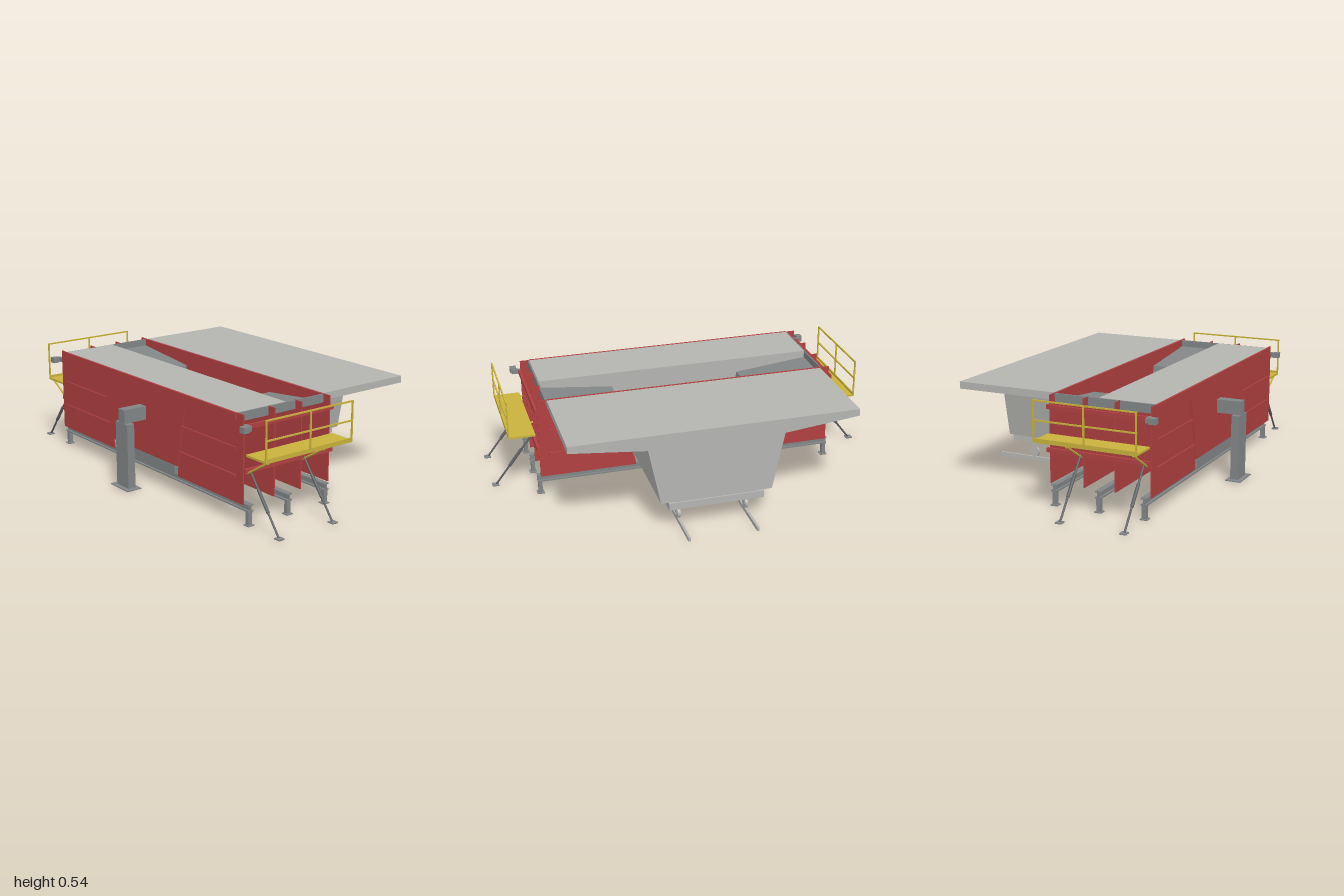
import * as THREE from 'three';

const mat = (name, color, extra = {}) => Object.assign(new THREE.MeshStandardMaterial({ color, ...extra }), { name });

export function createModel() {
  const model = new THREE.Group();
  model.name = 'girderFormwork';
  const concrete = mat('concrete', 0xb4b4b1);
  const red = mat('red steel', 0xb04040);
  const grey = mat('grey steel', 0x828586);
  const dark = mat('dark steel', 0x5c6062);
  const yellow = mat('yellow', 0xc8b23c);

  const add = (name, geo, m, parent = model) => {
    const mesh = new THREE.Mesh(geo, m);
    mesh.name = name;
    parent.add(mesh);
    return mesh;
  };
  // box given by its limits
  const box = (name, m, x0, x1, y0, y1, z0, z1, parent) =>
    add(name, new THREE.BoxGeometry(x1 - x0, y1 - y0, z1 - z0), m, parent)
      .position.set((x0 + x1) / 2, (y0 + y1) / 2, (z0 + z1) / 2);
  // polygon of [z, y] points extruded along x
  const plate = (name, m, pts, x0, x1, parent) => {
    const shape = new THREE.Shape(pts.map(([z, y]) => new THREE.Vector2(-z, y)));
    const geo = new THREE.ExtrudeGeometry(shape, { depth: x1 - x0, bevelEnabled: false });
    geo.rotateY(Math.PI / 2).translate(x0, 0, 0);
    return add(name, geo, m, parent);
  };
  // round bar between two points
  const rod = (name, m, a, b, r, parent) => {
    const p = new THREE.Vector3(...a), q = new THREE.Vector3(...b);
    const mesh = add(name, new THREE.CylinderGeometry(r, r, p.distanceTo(q), 10), m, parent);
    mesh.position.copy(p).add(q).multiplyScalar(0.5);
    mesh.quaternion.setFromUnitVectors(new THREE.Vector3(0, 1, 0), q.sub(p).normalize());
  };

  // girder cross-section
  const half = [[0.28, 0.157], [0.34, 0.45], [0.72, 0.49], [0.72, 0.525]];
  const section = [...half, ...half.map(([z, y]) => [-z, y]).reverse()];
  plate('finishedSegment', concrete, section, 0.02, 0.537);
  plate('previousSlab', concrete, section, -0.498, -0.215);
  plate('rearBulkhead', red, section, -0.51, -0.499);
  plate('frontBulkhead', red, section, 0.006, 0.016);

  // floor form
  box('floorForm', grey, -0.497, 0.017, 0.105, 0.155, -0.24, 0.24);
  box('floorPlate', grey, -0.497, 0.017, 0.149, 0.156, -0.285, 0.285);

  // cross beams (I sections) with feet
  for (const x of [-0.47, -0.24, -0.01]) {
    const beam = new THREE.Group();
    beam.name = 'crossBeam';
    model.add(beam);
    box('topFlange', grey, x - 0.015, x + 0.015, 0.097, 0.104, -0.785, 0.785, beam);
    box('bottomFlange', grey, x - 0.015, x + 0.015, 0.068, 0.075, -0.785, 0.785, beam);
    box('web', grey, x - 0.004, x + 0.004, 0.07, 0.1, -0.785, 0.785, beam);
    for (const s of [-1, 1]) {
      const z = s * 0.772;
      box('leg', grey, x - 0.011, x + 0.011, 0.004, 0.07, z - 0.01, z + 0.01, beam);
      box('foot', grey, x - 0.018, x + 0.018, 0, 0.005, z - 0.018, z + 0.018, beam);
    }
  }

  // one side form, built at +z and repeated at -z
  const side = (s) => {
    const g = new THREE.Group();
    g.name = s > 0 ? 'frontSideForm' : 'backSideForm';
    model.add(g);
    const flip = (pts) => pts.map(([z, y]) => [s * z, y]);
    const sbox = (name, m, x0, x1, y0, y1, z0, z1) =>
      box(name, m, x0, x1, y0, y1, Math.min(s * z0, s * z1), Math.max(s * z0, s * z1), g);
    const srod = (name, m, a, b, r) =>
      rod(name, m, [a[0], a[1], s * a[2]], [b[0], b[1], s * b[2]], r, g);

    // form skin
    plate('webSkin', grey, flip([[0.28, 0.155], [0.34, 0.449], [0.347, 0.444], [0.287, 0.152]]), -0.497, 0.017, g);
    plate('wingSkin', grey, flip([[0.34, 0.449], [0.722, 0.489], [0.722, 0.482], [0.342, 0.442]]), -0.497, 0.017, g);
    sbox('edgeSkin', grey, -0.497, 0.017, 0.482, 0.524, 0.721, 0.728);

    // ribs
    const rib = flip([[0.275, 0.104], [0.77, 0.104], [0.77, 0.525], [0.722, 0.525], [0.722, 0.488], [0.341, 0.448], [0.28, 0.155]]);
    for (const x of [-0.5, -0.32, -0.16, 0.014]) plate('rib', red, rib, x - 0.003, x + 0.003, g);
    for (const [x0, x1] of [[-0.51, -0.502], [0.016, 0.027]])
      for (const y of [0.23, 0.36])
        sbox('ribStiffener', red, x0, x1, y - 0.006, y + 0.006, 0.3 + (y - 0.23) * 0.1, 0.72);
    for (const y of [0.265, 0.47]) sbox('longBar', red, -0.5, 0.027, y - 0.01, y + 0.01, 0.77, 0.783);

    // drive unit
    sbox('driveUnit', grey, -0.542, -0.508, 0.457, 0.485, 0.79, 0.822);
    srod('driveShaft', grey, [-0.51, 0.471, 0.805], [-0.49, 0.471, 0.805], 0.008);
    sbox('driveMount', grey, -0.502, -0.49, 0.459, 0.483, 0.77, 0.815);

    // walkway with railing and brackets
    sbox('walkwayDeck', yellow, -0.5, 0.018, 0.336, 0.346, 0.785, 0.918);
    sbox('deckToeEdge', yellow, -0.5, 0.018, 0.336, 0.357, 0.913, 0.92);
    for (const x of [-0.496, -0.239, 0.015]) sbox('railPost', yellow, x - 0.0035, x + 0.0035, 0.34, 0.535, 0.915, 0.922);
    for (const y of [0.44, 0.532]) sbox('handRail', yellow, -0.5, 0.0185, y - 0.0035, y + 0.0035, 0.915, 0.922);
    for (const x of [-0.48, -0.15]) {
      srod('deckBracket', yellow, [x, 0.334, 0.91], [x, 0.25, 0.772], 0.005);
      srod('deckBearer', yellow, [x, 0.333, 0.77], [x, 0.333, 0.915], 0.005);
    }

    // inclined props
    for (const x of [-0.47, -0.15]) {
      srod('prop', dark, [x, 0.006, 0.978], [x, 0.27, 0.775], 0.005);
      srod('propSleeve', dark, [x, 0.1, 0.906], [x, 0.19, 0.837], 0.008);
      sbox('propFoot', grey, x - 0.016, x + 0.016, 0, 0.006, 0.966, 1);
    }
  };
  side(1);
  side(-1);

  // support tower
  box('towerBase', grey, -0.66, -0.58, 0, 0.005, -0.075, 0.075);
  box('towerPost', grey, -0.638, -0.597, 0.005, 0.33, -0.05, 0.05);
  box('towerHead', grey, -0.636, -0.508, 0.33, 0.398, -0.025, 0.025);

  // trolley on rails
  box('trolleyFrame', concrete, 0.024, 0.537, 0.113, 0.15, -0.24, 0.24);
  box('trolleyPad', concrete, 0.03, 0.53, 0.148, 0.158, -0.2, 0.2);
  for (const z of [-0.173, 0.173]) {
    box('rail', concrete, -0.03, 0.657, 0, 0.02, z - 0.006, z + 0.006);
    for (const x of [0.107, 0.452]) {
      const wheel = add('wheel', new THREE.CylinderGeometry(0.027, 0.027, 0.014, 24), concrete);
      wheel.rotation.x = Math.PI / 2;
      wheel.position.set(x, 0.047, z);
      for (const d of [-0.01, 0.01])
        box('wheelFork', concrete, x - 0.016, x + 0.016, 0.045, 0.114, z + d - 0.002, z + d + 0.002);
    }
  }
  return model;
}
